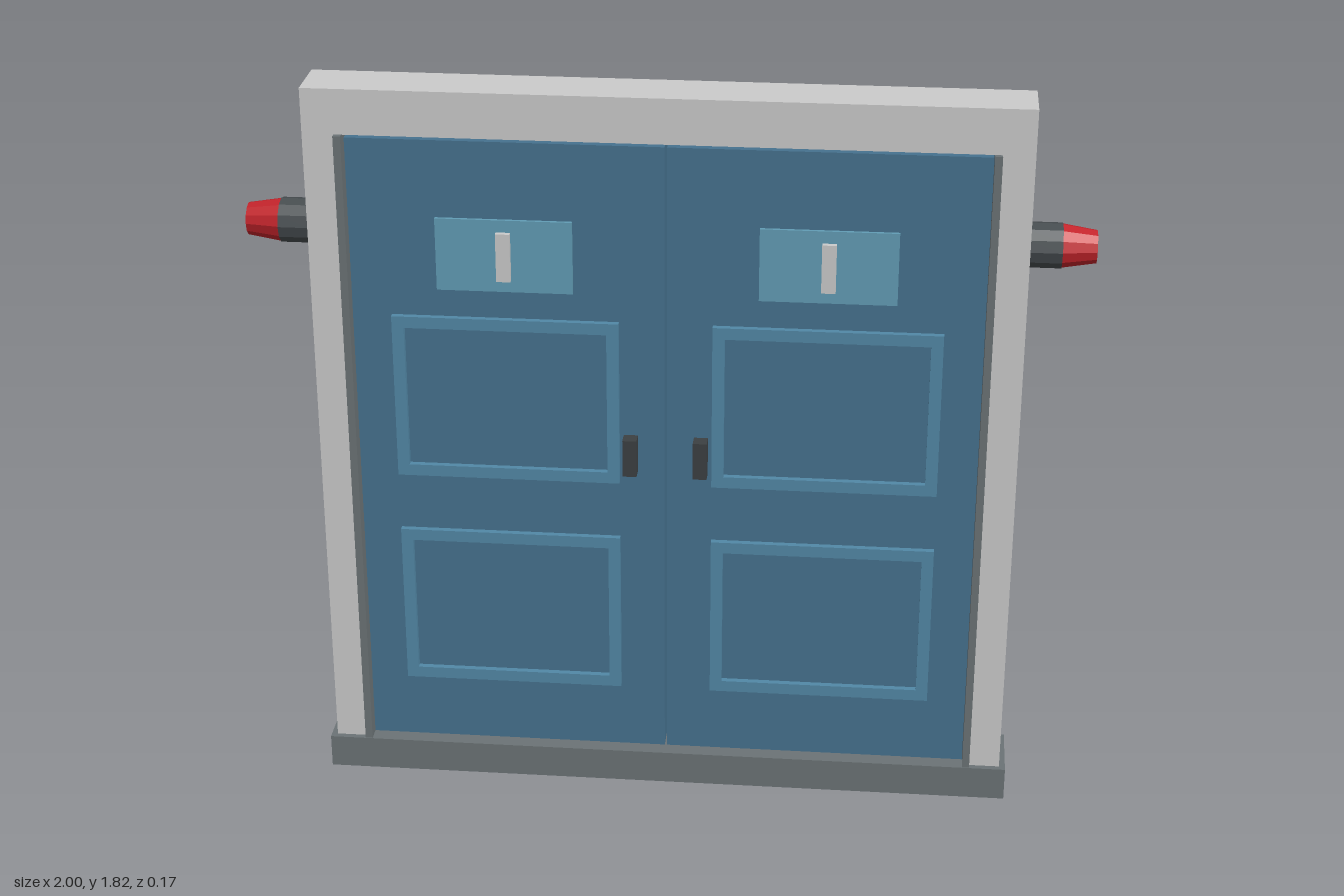
import * as THREE from 'three';

const mat = (color, flatShading = false) => new THREE.MeshStandardMaterial({ color, flatShading });
const GREY = mat(0xcccccc), STONE = mat(0x6b7376), DARK = mat(0x3c4042);
const DOOR = mat(0x46728f), TRIM = mat(0x5288a6), GLASS = mat(0x629db5);
const SLEEVE = mat(0x474d50, true), RED = mat(0xc4242b, true);

// Box given by its limits on each axis
function box(name, material, [x0, x1], [y0, y1], [z0, z1]) {
  const mesh = new THREE.Mesh(new THREE.BoxGeometry(x1 - x0, y1 - y0, z1 - z0), material);
  mesh.position.set((x0 + x1) / 2, (y0 + y1) / 2, (z0 + z1) / 2);
  mesh.name = name;
  return mesh;
}

// Box mirrored to the requested side
function sideBox(name, material, s, [x0, x1], y, z) {
  return box(name, material, s > 0 ? [x0, x1] : [-x1, -x0], y, z);
}

// Rectangular raised moulding with an open middle
function moulding(name, s, [x0, x1], [y0, y1], border, z, depth) {
  const w = (x1 - x0) / 2, h = (y1 - y0) / 2;
  const rect = (Type, a, b) => new Type([[-a, -b], [a, -b], [a, b], [-a, b]].map(p => new THREE.Vector2(...p)));
  const shape = rect(THREE.Shape, w, h);
  shape.holes.push(rect(THREE.Path, w - border, h - border));
  const mesh = new THREE.Mesh(new THREE.ExtrudeGeometry(shape, { depth, bevelEnabled: false }), TRIM);
  mesh.position.set(s * (x0 + x1) / 2, (y0 + y1) / 2, z);
  mesh.name = name;
  return mesh;
}

// Twelve-sided tapered section lying along x, pointing outward
function lampPart(name, material, s, x0, x1, r0, r1) {
  const mesh = new THREE.Mesh(new THREE.CylinderGeometry(r1, r0, x1 - x0, 12), material);
  mesh.rotation.z = -s * Math.PI / 2;
  mesh.position.set(s * (x0 + x1) / 2, 1.465, 0);
  mesh.name = name;
  return mesh;
}

export function createModel() {
  const model = new THREE.Group();
  model.name = 'doubleDoor';

  // Threshold and lintel
  model.add(box('threshold', STONE, [-0.86, 0.86], [0, 0.085], [-0.085, 0.085]));
  model.add(box('lintel', GREY, [-0.845, 0.845], [1.705, 1.815], [-0.07, 0.07]));

  for (const s of [1, -1]) {
    const side = s > 0 ? 'left' : 'right';

    // Jamb and the hinge strip beside the door
    model.add(sideBox(side + 'Jamb', GREY, s, [0.765, 0.845], [0.02, 1.705], [-0.07, 0.07]));
    model.add(sideBox(side + 'HingeStrip', STONE, s, [0.752, 0.77], [0.085, 1.705], [0.01, 0.083]));

    // Door leaf with its fittings
    const leaf = new THREE.Group();
    leaf.name = side + 'Door';
    leaf.add(sideBox('leaf', DOOR, s, [0.003, 0.758], [0.085, 1.69], [-0.045, 0.045]));
    for (const [name, y] of [['lowerPanel', 0.26], ['upperPanel', 0.83]]) {
      leaf.add(moulding(name + 'Moulding', s, [0.112, 0.657], [y, y + 0.42], 0.029, 0.044, 0.016));
    }
    leaf.add(sideBox('window', GLASS, s, [0.22, 0.545], [1.32, 1.5], [0.04, 0.053]));
    leaf.add(sideBox('windowBar', GREY, s, [0.366, 0.4], [1.35, 1.47], [0.045, 0.066]));
    leaf.add(sideBox('handle', DARK, s, [0.068, 0.102], [0.86, 0.955], [0.04, 0.081]));
    model.add(leaf);

    // Warning lamp on the outer side
    const lamp = new THREE.Group();
    lamp.name = side + 'Lamp';
    lamp.add(lampPart('lampSleeve', SLEEVE, s, 0.84, 0.92, 0.054, 0.054));
    lamp.add(lampPart('lampLens', RED, s, 0.92, 1, 0.052, 0.039));
    model.add(lamp);
  }
  return model;
}
